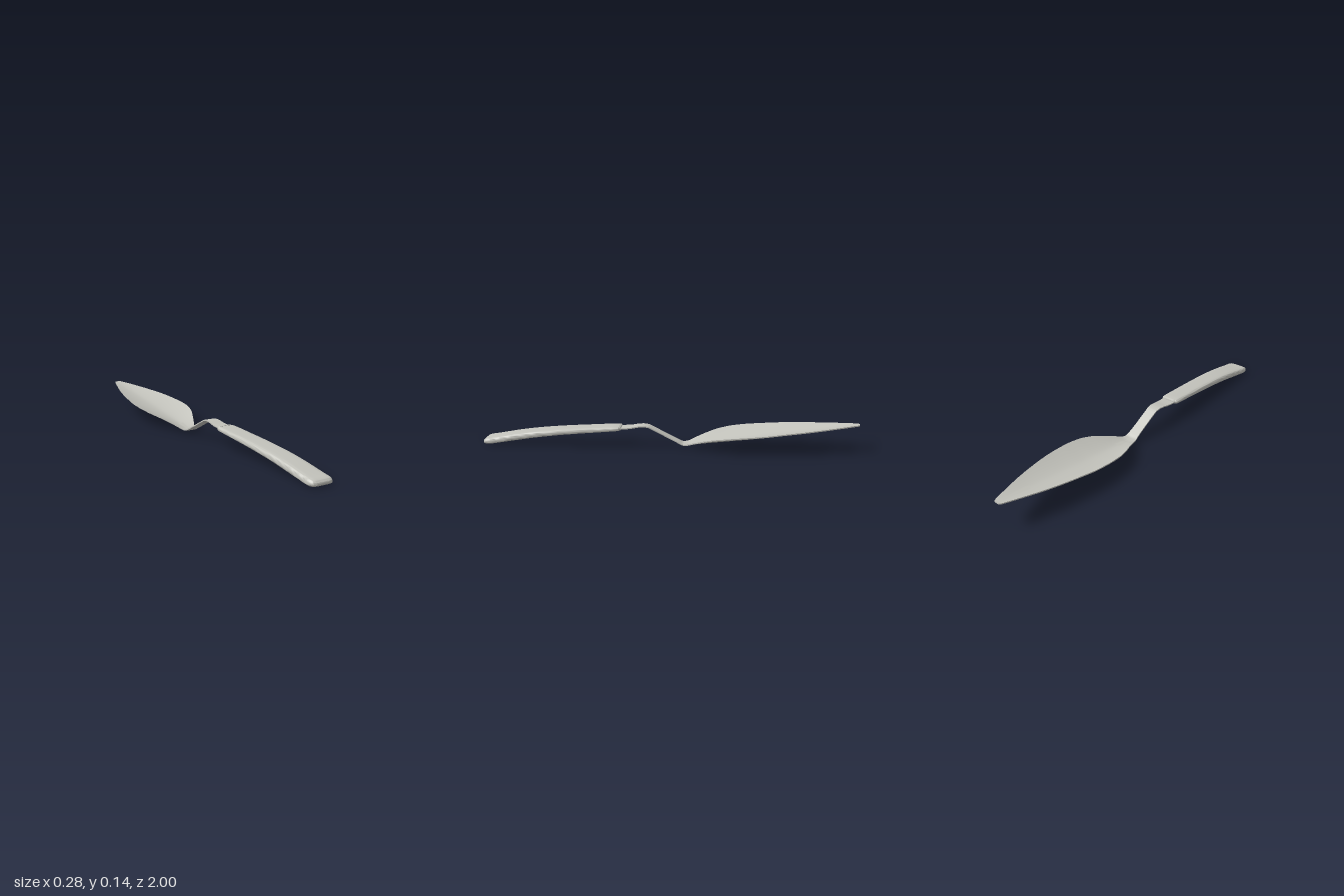
import * as THREE from 'three';
import { toCreasedNormals } from 'three/addons/utils/BufferGeometryUtils.js';

// Smooth interpolation of [z, ...values] stations that never overshoots
function sample(keys, z) {
  let k = 0;
  while (k < keys.length - 2 && z > keys[k + 1][0]) k++;
  const a = keys[k], b = keys[k + 1], h = b[0] - a[0], t = (z - a[0]) / h;
  const slope = (i, c) => {
    const d = j => (keys[j + 1][c] - keys[j][c]) / (keys[j + 1][0] - keys[j][0]);
    if (i === 0) return d(0);
    if (i === keys.length - 1) return d(i - 1);
    const p = d(i - 1), q = d(i);
    return p * q <= 0 ? 0 : (2 * p * q) / (p + q);
  };
  return a.slice(1).map((v, i) => {
    const c = i + 1, t2 = t * t, t3 = t2 * t;
    return v * (2 * t3 - 3 * t2 + 1) + b[c] * (3 * t2 - 2 * t3)
      + h * slope(k, c) * (t3 - 2 * t2 + t) + h * slope(k + 1, c) * (t3 - t2);
  });
}

// Skin over cross-section rings running along z, closed at both ends
function loft(keys, steps, ring, crease) {
  const zs = [];
  for (let k = 0; k < keys.length - 1; k++)
    for (let s = 0; s < steps; s++) zs.push(keys[k][0] + (keys[k + 1][0] - keys[k][0]) * s / steps);
  zs.push(keys[keys.length - 1][0]);
  const rings = zs.map(z => ring(...sample(keys, z)).map(([x, y]) => [x, y, z]));
  const n = rings[0].length, pos = rings.flat(2), idx = [];
  for (let i = 0; i < rings.length - 1; i++)
    for (let j = 0; j < n; j++) {
      const a = i * n + j, b = i * n + (j + 1) % n;
      idx.push(a, b, b + n, a, b + n, a + n);
    }
  const last = (rings.length - 1) * n;
  [0, last].forEach((start, end) => {
    const c = pos.length / 3, r = rings[end ? rings.length - 1 : 0];
    pos.push(0, r.reduce((s, p) => s + p[1], 0) / n, r[0][2]);
    for (let j = 0; j < n; j++) {
      const a = start + j, b = start + (j + 1) % n;
      if (end) idx.push(c, a, b); else idx.push(c, b, a);
    }
  });
  const g = new THREE.BufferGeometry();
  g.setAttribute('position', new THREE.Float32BufferAttribute(pos, 3));
  g.setIndex(idx);
  return toCreasedNormals(g, crease);
}

// Thin dished sheet: half width, centre height, rise at the edges
function sheetRing(w, y, rise) {
  const N = 16, T = 0.006, top = [], bottom = [];
  for (let i = 0; i <= N; i++) {
    const u = 1 - 2 * i / N, h = y + rise * Math.pow(Math.abs(u), 1.6);
    top.push([w * u, h + T]);
    bottom.unshift([w * u, h]);
  }
  return [...top, ...bottom];
}

// Rounded bar: half width, bottom, top
function barRing(w, lo, hi) {
  const N = 40, ring = [], p = v => Math.sign(v) * Math.pow(Math.abs(v), 0.42);
  for (let i = 0; i < N; i++) {
    const a = i / N * Math.PI * 2, s = p(Math.sin(a));
    ring.push([w * p(Math.cos(a)) * (1 - 0.04 * s), (lo + hi) / 2 + s * (hi - lo) / 2]);
  }
  return ring;
}

export function createModel() {
  const group = new THREE.Group();
  const metal = new THREE.MeshStandardMaterial({ color: 0xc4c4bd });
  metal.name = 'satin silver';
  const add = (name, geometry) => {
    const m = new THREE.Mesh(geometry, metal);
    m.name = name;
    group.add(m);
  };

  // Leaf-shaped dished blade, from tip to heel
  add('blade', loft([
    [-1, 0.010, 0.138, 0], [-0.995, 0.019, 0.137, 0], [-0.98, 0.025, 0.135, 0.001],
    [-0.9, 0.051, 0.124, 0.006], [-0.8, 0.081, 0.109, 0.013], [-0.7, 0.105, 0.095, 0.019],
    [-0.6, 0.124, 0.081, 0.025], [-0.5, 0.137, 0.067, 0.029], [-0.42, 0.140, 0.055, 0.034],
    [-0.34, 0.134, 0.044, 0.036], [-0.27, 0.116, 0.034, 0.034], [-0.2, 0.085, 0.024, 0.025],
    [-0.14, 0.056, 0.015, 0.013], [-0.105, 0.040, 0.010, 0.005], [-0.085, 0.035, 0.011, 0.002],
  ], 5, sheetRing, 0.7));

  // Cranked neck rising from the blade heel into the handle
  add('neck', loft([
    [-0.1, 0.038, 0.010, 0.004], [-0.085, 0.035, 0.011, 0.002], [-0.06, 0.031, 0.023, 0],
    [0, 0.029, 0.053, 0], [0.08, 0.029, 0.094, 0], [0.105, 0.030, 0.105, 0],
    [0.13, 0.031, 0.108, 0], [0.155, 0.032, 0.106, 0], [0.2, 0.035, 0.098, 0], [0.28, 0.039, 0.092, 0],
  ], 4, sheetRing, 0.7));

  // Gently drooping handle with rounded butt
  add('handle', loft([
    [0.255, 0.044, 0.089, 0.104], [0.258, 0.047, 0.087, 0.107], [0.266, 0.049, 0.086, 0.108],
    [0.4, 0.0515, 0.074, 0.101], [0.55, 0.054, 0.060, 0.091], [0.7, 0.0565, 0.042, 0.077],
    [0.82, 0.0585, 0.023, 0.060], [0.9, 0.0595, 0.010, 0.045], [0.95, 0.060, 0.002, 0.036],
    [0.975, 0.059, 0, 0.032], [0.99, 0.054, 0.002, 0.027], [0.997, 0.046, 0.005, 0.022],
    [1, 0.034, 0.009, 0.016],
  ], 4, barRing, 1.0));

  // Small raised collar where the neck enters the handle
  add('collar', loft([
    [0.249, 0.038, 0.090, 0.106], [0.252, 0.041, 0.088, 0.109], [0.262, 0.041, 0.088, 0.109],
  ], 2, barRing, 1.0));

  return group;
}
